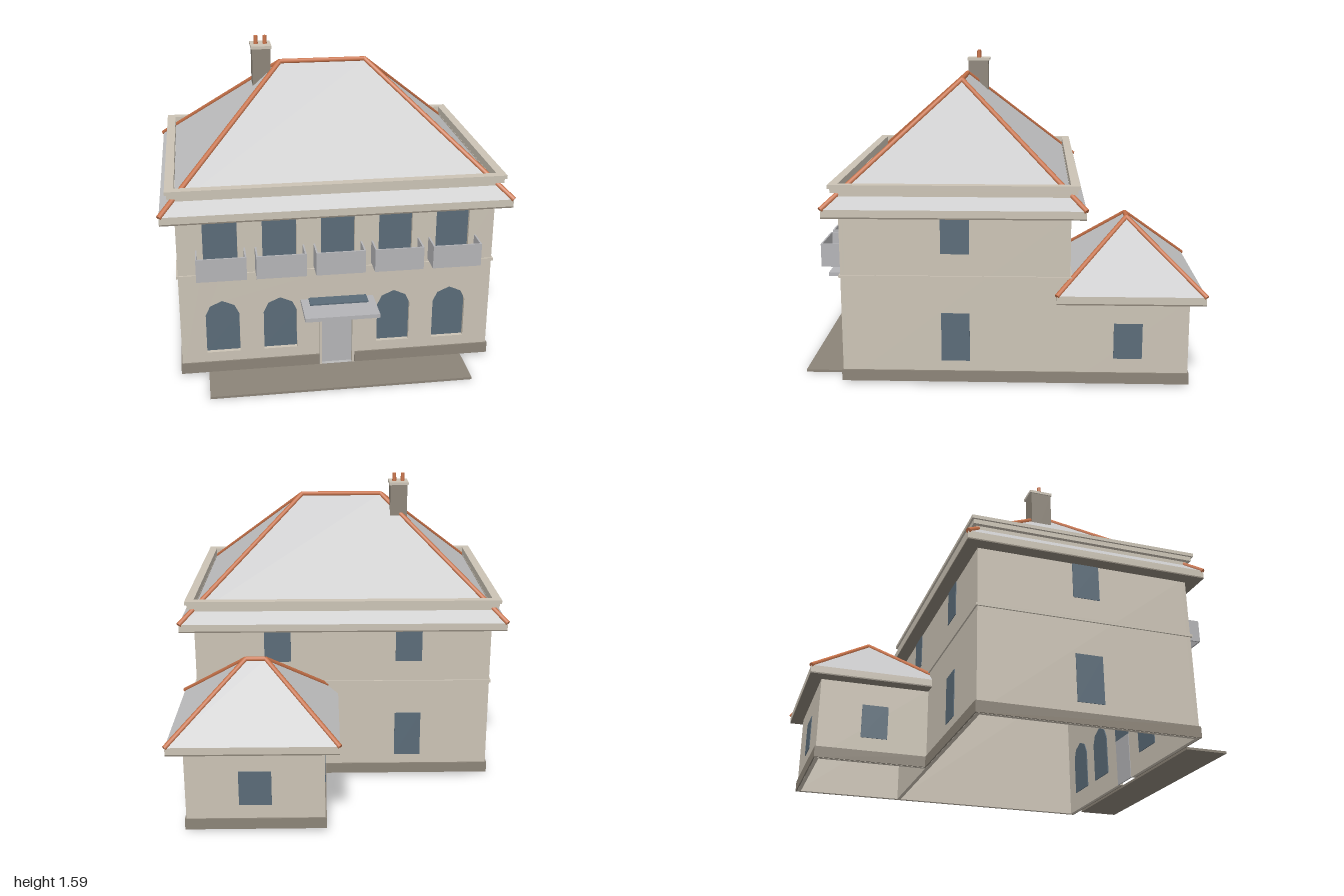
import * as THREE from 'three';

const mat = (name, color, side = THREE.FrontSide) => {
  const m = new THREE.MeshStandardMaterial({ color, side });
  m.name = name;
  return m;
};

export function createModel() {
  const house = new THREE.Group();
  house.name = 'house';
  const wall = mat('cream render', 0xcbc3b5);
  const stone = mat('dark stone', 0x8c8478);
  const slate = mat('roof grey', 0xc3c3c4, THREE.DoubleSide);
  const metal = mat('light grey', 0xb4b4b7);
  const glass = mat('window blue', 0x5a6b78);
  const clay = mat('terracotta', 0xc8734a);

  const add = (name, geo, material) => {
    const m = new THREE.Mesh(geo, material);
    m.name = name;
    house.add(m);
    return m;
  };
  // Box given by its minimum and maximum on each axis
  const box = (name, material, x0, x1, y0, y1, z0, z1) =>
    add(name, new THREE.BoxGeometry(x1 - x0, y1 - y0, z1 - z0), material)
      .position.set((x0 + x1) / 2, (y0 + y1) / 2, (z0 + z1) / 2);
  // Rectangular frame lying flat, between an outer and an inner rectangle
  const ring = (name, material, y0, y1, cx, cz, hx, hz, t) => {
    const rect = (Type, a, b) => new Type([[-a, -b], [a, -b], [a, b], [-a, b]].map(p => new THREE.Vector2(...p)));
    const shape = rect(THREE.Shape, hx, hz);
    shape.holes.push(rect(THREE.Path, hx - t, hz - t));
    const geo = new THREE.ExtrudeGeometry(shape, { depth: y1 - y0, bevelEnabled: false });
    geo.rotateX(-Math.PI / 2);
    add(name, geo, material).position.set(cx, y0, cz);
  };
  const rod = (name, a, b, r) => {
    const d = b.clone().sub(a);
    const m = add(name, new THREE.CylinderGeometry(r, r, d.length(), 8), clay);
    m.position.copy(a).addScaledVector(d, 0.5);
    m.quaternion.setFromUnitVectors(new THREE.Vector3(0, 1, 0), d.normalize());
  };
  // Hipped roof with tiled hips and ridge, fascia and soffit
  const hipRoof = (name, cx, cz, hx, hz, ridge, eave, top, r) => {
    const v = (x, y, z) => new THREE.Vector3(cx + x, y, cz + z);
    const c = [v(-hx, eave, hz), v(hx, eave, hz), v(hx, eave, -hz), v(-hx, eave, -hz)];
    const l = v(-ridge, top, 0), k = v(ridge, top, 0);
    const tris = [c[0], c[1], k, c[0], k, l, c[1], c[2], k, c[2], c[3], l, c[2], l, k, c[3], c[0], l];
    const geo = new THREE.BufferGeometry().setFromPoints(tris);
    geo.computeVertexNormals();
    add(name, geo, slate);
    c.forEach((p, i) => rod(name + 'Hip', p, i === 1 || i === 2 ? k : l, r));
    rod(name + 'Ridge', l, k, r);
    box(name + 'Fascia', wall, cx - hx, cx + hx, eave - 0.036, eave, cz - hz, cz + hz);
    box(name + 'Soffit', stone, cx - hx, cx + hx, eave - 0.043, eave - 0.036, cz - hz, cz + hz);
  };

  // Arched opening; flip points the arch downwards
  const arch = (Type, x, base, spring, tip, grow = 0) => {
    const w = 0.083 + grow, h = tip - spring;
    return new Type([[-w, base], [w, base], [w, spring], [w * 0.72, spring + h * 0.65], [0, tip],
      [-w * 0.72, spring + h * 0.65], [-w, spring]].map(([a, b]) => new THREE.Vector2(x + a, b)));
  };
  const bays = [-2, -1, 0, 1, 2].map(i => i * 0.286);

  // Front wall with a door notch and window openings
  const front = new THREE.Shape([[-0.78, 0.015], [-0.077, 0.015], [-0.077, 0.335], [0.077, 0.335], [0.077, 0.015],
    [0.78, 0.015], [0.78, 0.865], [-0.78, 0.865]].map(p => new THREE.Vector2(...p)));
  const pane = (name, shape) => {
    const geo = new THREE.ExtrudeGeometry(shape, { depth: 0.005, bevelEnabled: false });
    add(name, geo, glass).position.z = 0.755;
  };
  for (const x of bays) {
    front.holes.push(arch(THREE.Path, x, 0.857, 0.625, 0.555));
    pane('upperFrontWindow', arch(THREE.Shape, x, 0.86, 0.625, 0.55, 0.005));
    if (x === 0) continue;
    front.holes.push(arch(THREE.Path, x, 0.125, 0.335, 0.41));
    pane('archedWindow', arch(THREE.Shape, x, 0.12, 0.335, 0.415, 0.005));
  }
  add('frontWall', new THREE.ExtrudeGeometry(front, { depth: 0.02, bevelEnabled: false }), wall).position.z = 0.76;

  // Other walls, open underneath
  for (const s of [-1, 1]) box('sideWall', wall, s * 0.77 - 0.01, s * 0.77 + 0.01, 0.015, 0.865, -0.34, 0.76);
  box('backWall', wall, -0.76, 0.76, 0.015, 0.865, -0.34, -0.32);
  box('annexRightWall', wall, 0.10, 0.12, 0.015, 0.45, -0.92, -0.34);
  box('annexLeftWall', wall, 0.76, 0.78, 0.015, 0.45, -0.92, -0.34);
  box('annexBackWall', wall, 0.12, 0.76, 0.015, 0.45, -0.92, -0.90);

  // Plinth and string course
  const p0 = 0.016, p1 = 0.073;
  box('plinth', stone, -0.787, -0.09, p0, p1, 0.78, 0.787);
  box('plinth', stone, 0.09, 0.787, p0, p1, 0.78, 0.787);
  box('plinth', stone, -0.787, -0.78, p0, p1, -0.347, 0.78);
  box('plinth', stone, 0.78, 0.787, p0, p1, -0.927, 0.78);
  box('plinth', stone, -0.78, 0.093, p0, p1, -0.347, -0.34);
  box('plinth', stone, 0.093, 0.10, p0, p1, -0.927, -0.34);
  box('plinth', stone, 0.10, 0.78, p0, p1, -0.927, -0.92);
  ring('stringCourse', wall, 0.546, 0.56, 0, 0.22, 0.788, 0.568, 0.012);

  // Side and back windows
  const sideWindow = (x, z, y0, y1) => box('sideWindow', glass, x - 0.003, x + 0.003, y0, y1, z - 0.07, z + 0.07);
  const backWindow = (x, z, y0, y1, w) => box('backWindow', glass, x - w, x + w, y0, y1, z - 0.003, z + 0.003);
  for (const [y0, y1] of [[0.125, 0.37], [0.67, 0.857]]) {
    for (const s of [-1, 1]) {
      sideWindow(s * 0.78, 0.22, y0, y1);
      backWindow(s * 0.347, -0.34, y0, y1, 0.07);
    }
  }
  for (const x of [0.10, 0.78]) sideWindow(x, -0.625, 0.145, 0.325);
  backWindow(0.44, -0.92, 0.145, 0.325, 0.08);

  // Door, frame and canopy
  box('door', metal, -0.08, 0.08, 0.015, 0.265, 0.757, 0.765);
  box('doorTransom', glass, -0.08, 0.08, 0.265, 0.338, 0.757, 0.763);
  for (const s of [-1, 1]) box('doorFrame', wall, s * 0.083 - 0.006, s * 0.083 + 0.006, 0.015, 0.335, 0.77, 0.787);
  box('doorFrame', wall, -0.089, 0.089, 0.333, 0.345, 0.77, 0.787);
  box('canopy', metal, -0.184, 0.18, 0.37, 0.39, 0.78, 0.973);
  box('canopyGlass', glass, -0.145, 0.145, 0.39, 0.397, 0.78, 0.85);

  // Balcony parapets
  for (const x of bays) {
    box('balconyFront', metal, x - 0.12, x + 0.12, 0.575, 0.692, 0.882, 0.89);
    for (const s of [-1, 1]) {
      const e = x + s * 0.116;
      box('balconySide', metal, e - 0.004, e + 0.004, 0.575, 0.692, 0.78, 0.882);
    }
  }

  // Terrace
  box('terrace', stone, -0.65, 0.648, 0, 0.012, 0.78, 1.0);

  // Roofs and the cornice ring around the main roof
  hipRoof('mainRoof', 0, 0.22, 0.85, 0.63, 0.22, 0.9, 1.463, 0.013);
  hipRoof('annexRoof', 0.441, -0.63, 0.413, 0.357, 0.05, 0.485, 0.795, 0.012);
  ring('corniceBase', wall, 0.94, 0.975, 0, 0.22, 0.79, 0.57, 0.015);
  ring('corniceBand', wall, 0.973, 0.996, 0, 0.22, 0.81, 0.59, 0.034);
  ring('corniceTop', wall, 0.996, 1.014, 0, 0.22, 0.82, 0.6, 0.044);

  // Chimney
  box('chimney', stone, -0.36, -0.267, 1.2, 1.53, 0.106, 0.22);
  box('chimneyCap', wall, -0.366, -0.261, 1.53, 1.545, 0.097, 0.225);
  for (const x of [-0.337, -0.291])
    add('chimneyPot', new THREE.CylinderGeometry(0.01, 0.012, 0.045, 10), clay).position.set(x, 1.565, 0.16);

  return house;
}
